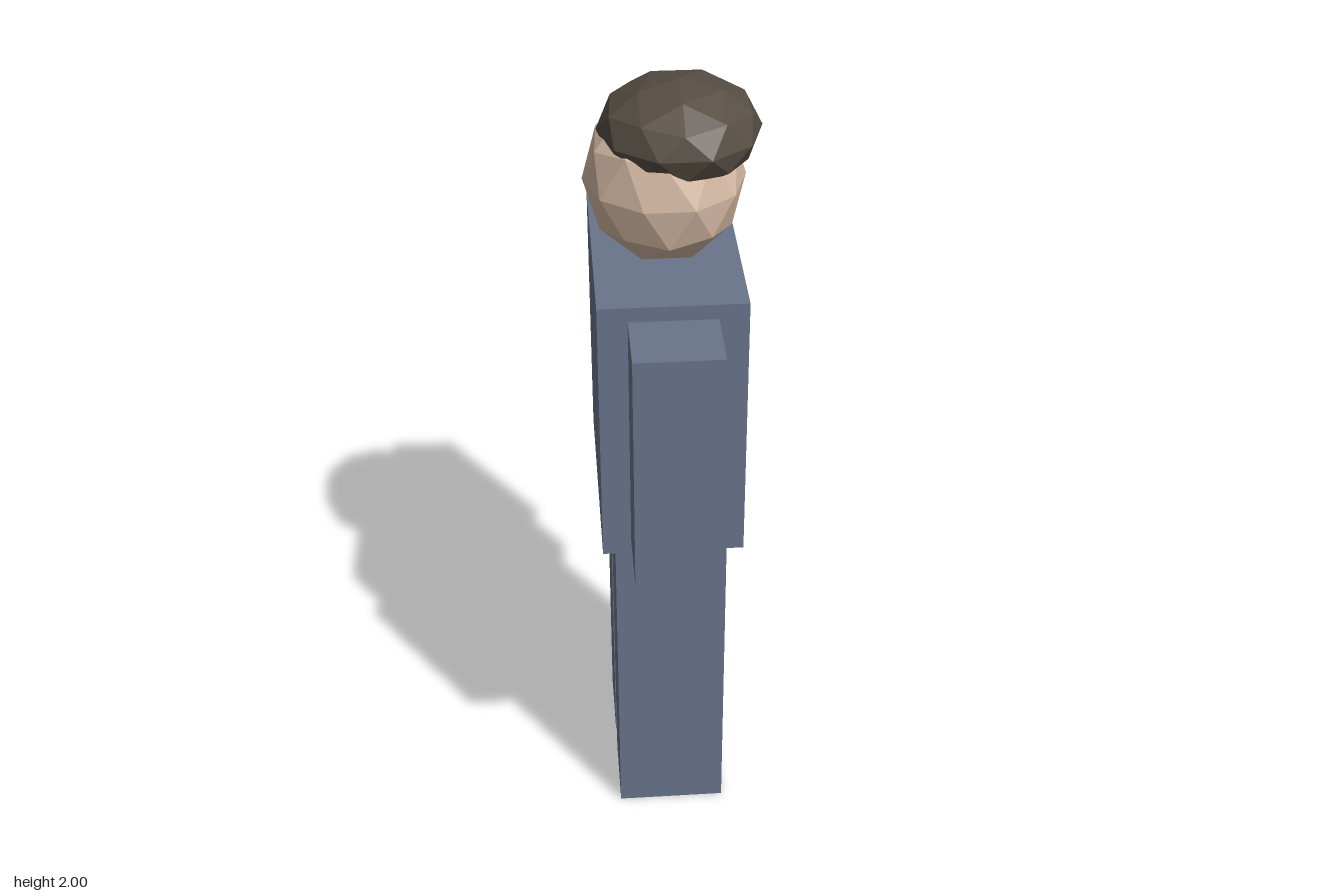
import * as THREE from 'three';

export function createModel() {
  const model = new THREE.Group();
  model.name = 'blockFigure';

  const cloth = new THREE.MeshStandardMaterial({ color: 0x6a758c });
  cloth.name = 'slate cloth';
  const skin = new THREE.MeshStandardMaterial({ color: 0xd8bca6, flatShading: true });
  skin.name = 'skin';
  const hair = new THREE.MeshStandardMaterial({ color: 0x564d43, flatShading: true });
  hair.name = 'dark brown hair';

  // Box given by its lower and upper corners
  function box(name, min, max) {
    const size = max.map((v, i) => v - min[i]);
    const mesh = new THREE.Mesh(new THREE.BoxGeometry(...size), cloth);
    mesh.position.set(...max.map((v, i) => (v + min[i]) / 2));
    mesh.name = name;
    model.add(mesh);
  }

  // Faceted ball standing on one of its icosahedron corners
  function ball(name, material, radii, position) {
    const geometry = new THREE.IcosahedronGeometry(1, 1);
    geometry.rotateX(-Math.atan((1 + Math.sqrt(5)) / 2));
    geometry.scale(...radii);
    geometry.computeVertexNormals();
    const mesh = new THREE.Mesh(geometry, material);
    mesh.position.set(...position);
    mesh.name = name;
    model.add(mesh);
  }

  box('torso', [-0.19, 0.9, -0.293], [0.153, 1.587, 0.293]);

  // Arms and legs, mirrored across z
  for (const [side, s] of [['front', 1], ['back', -1]]) {
    const span = (inner, outer) => (s > 0 ? [inner, outer] : [-outer, -inner]);
    const [a0, a1] = span(0.293, 0.464);
    box(side + 'Arm', [-0.121, 0.936, a0], [0.084, 1.55, a1]);
    const [l0, l1] = span(0.034, 0.24);
    box(side + 'Leg', [-0.158, 0, l0], [0.118, 0.9, l1]);
  }

  // Head, with a flattened cap of hair shifted towards +x
  ball('head', skin, [0.189, 0.2, 0.198], [-0.018, 1.764, 0]);
  ball('hair', hair, [0.189, 0.116, 0.198], [0.0165, 1.884, 0]);

  return model;
}
